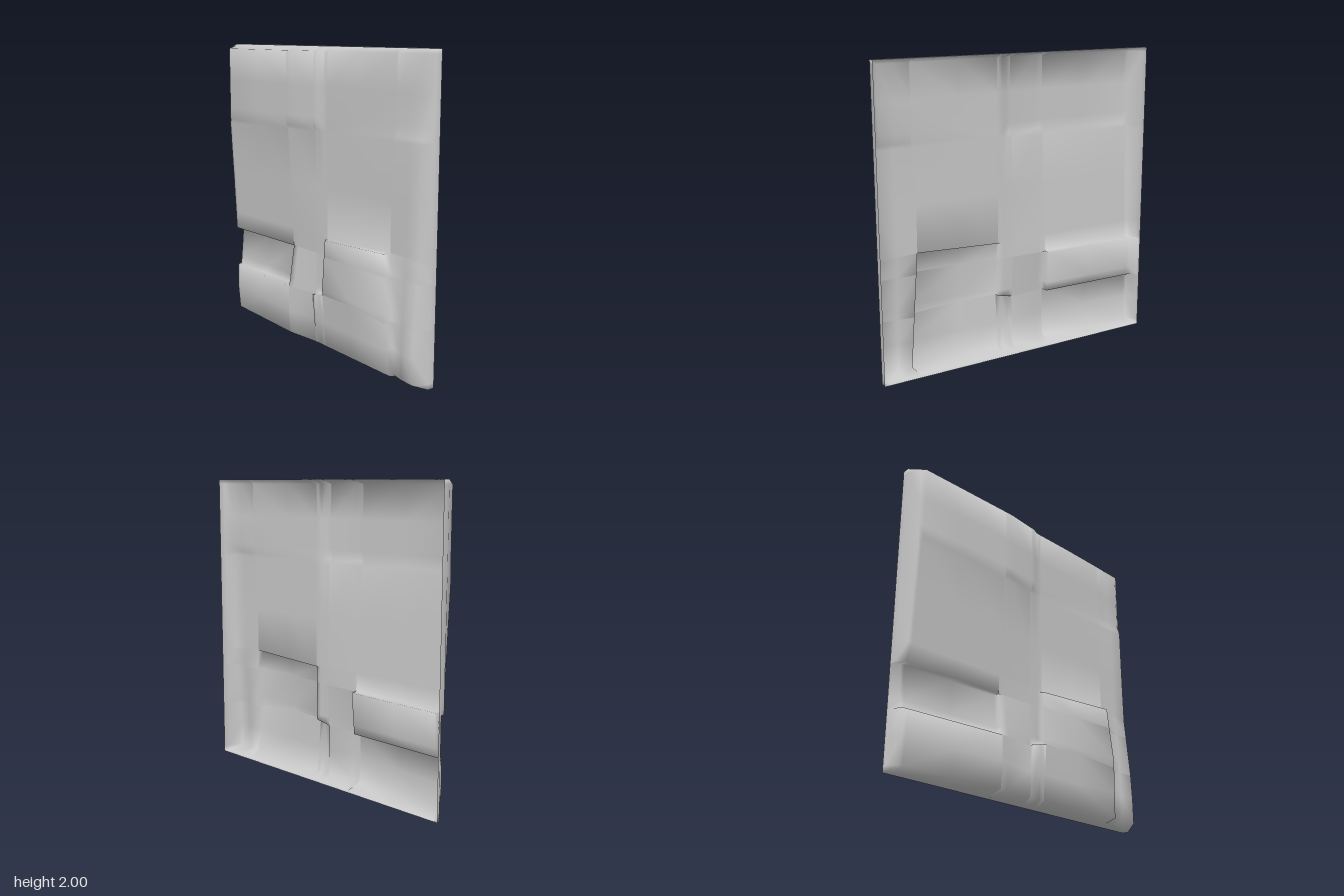
import * as THREE from 'three';
import { mergeVertices } from 'three/addons/utils/BufferGeometryUtils.js';

const BACK = -0.087, E = 0.001;
const SLOT_X = -0.25, LOW_Y = 0.37, SLOT_TOP = 0.65, BLOCK_TOP = 0.775, BLOCK_RIGHT = 0.735;

// piecewise linear curve through [position, value] points
function curve(points, t) {
  if (t <= points[0][0]) return points[0][1];
  for (let i = 1; i < points.length; i++) {
    const [a, va] = points[i - 1], [b, vb] = points[i];
    if (t <= b) return va + (vb - va) * (t - a) / (b - a);
  }
  return points[points.length - 1][1];
}
const ramp = (a, b, t) => THREE.MathUtils.clamp((t - a) / (b - a), 0, 1);
const mix = THREE.MathUtils.lerp;

// depth of the panel face at a point
function relief(x, y) {
  // gently sloping left and right fields, blended along the middle
  const left = curve([[0.035, 0.045], [0.2, 0.06], [LOW_Y, 0.055], [SLOT_TOP, 0.012], [0.8, 0.02], [1.44, 0.055], [2, 0.05]], y);
  const upperRight = curve([[0.1, 0.022], [0.6, 0.01], [0.95, -0.015]], x);
  const middleRight = curve([[0.1, 0.018], [0.95, 0.008]], x);
  const lowerStrip = 0.042 * ramp(0.7, 0.9, x) * ramp(0.8, 0.3, y);
  const right = mix(middleRight, upperRight, ramp(1.45, 1.55, y)) + lowerStrip;
  let z = mix(left, right, ramp(-0.25, 0.1, x));

  // lower left field falls away toward the outer edge
  if (y < LOW_Y) z -= 0.05 * ramp(SLOT_X, -0.955, x);

  // raised upper left block with soft sides
  const block = ramp(0.08, 0.04, x) * ramp(1.44, 1.47, y);
  z = mix(z, curve([[-0.955, 0.05], [-0.93, 0.068], [-0.2, 0.068], [0.04, 0.042]], x), block);

  // sunken slot on the left
  if (x < SLOT_X && y > LOW_Y && y < SLOT_TOP) {
    z = curve([[LOW_Y, -0.005], [SLOT_TOP, -0.03]], y) - 0.015 * ramp(SLOT_X, -0.955, x);
  }

  // raised lower right block with a notched corner
  if (x < BLOCK_RIGHT && ((x > 0.12 && y < BLOCK_TOP) || (x > 0.01 && y < LOW_Y))) {
    const swell = curve([[0.035, 0.055], [0.42, 0.088], [BLOCK_TOP, 0.065]], y);
    z = swell - 0.03 * ramp(BLOCK_RIGHT, 0.01, x);
  }
  return z;
}

// front edge of the rim, shallower beside the slot and below it
const shoulder = (x, y) => (x < SLOT_X && y < SLOT_TOP ? -0.066 : -0.04);

// slight slant of the horizontal steps
function slant(x, y) {
  if (Math.abs(y - BLOCK_TOP) < 0.01) return 0.05 * (x - 0.42) * ramp(0, 0.12, x) * ramp(0.955, 0.735, x);
  if (Math.abs(y - LOW_Y) < 0.01) return 0.025 * ramp(0.01, 0.12, x) * ramp(0.735, 0.4, x);
  if (y > 1.42 && y < 1.5) return 0.02 * ramp(-0.955, 0.04, x);
  return 0;
}

// smooth normals where small step faces keep a good share of the shading
function smoothNormals(geometry) {
  const p = geometry.attributes.position, index = geometry.index.array;
  const normals = Array.from({ length: p.count }, () => new THREE.Vector3());
  const tri = new THREE.Triangle(), n = new THREE.Vector3();
  for (let i = 0; i < index.length; i += 3) {
    const corners = [index[i], index[i + 1], index[i + 2]];
    tri.setFromAttributeAndIndices(p, ...corners);
    tri.getNormal(n).multiplyScalar(Math.sqrt(tri.getArea()));
    for (const c of corners) normals[c].add(n);
  }
  const flat = normals.flatMap((v) => v.normalize().toArray());
  geometry.setAttribute('normal', new THREE.Float32BufferAttribute(flat, 3));
  return geometry;
}

function panelGeometry() {
  // a close pair of grid lines makes each sharp step
  const pair = (v) => [v - E, v + E];
  const xs = [-0.955, -0.93, -0.6, ...pair(SLOT_X), -0.2, ...pair(0.01), 0.04, 0.08, ...pair(0.12),
    0.4, ...pair(BLOCK_RIGHT), 0.85, 0.955];
  const ys = [0.035, 0.2, ...pair(LOW_Y), 0.43, ...pair(SLOT_TOP), ...pair(BLOCK_TOP),
    1.1, 1.44, 1.47, 1.55, 1.75, 1.97];
  // extra lines at each end make the bevel and the straight rim
  const cols = [-1, -1, ...xs, 1, 1], rows = [0, 0, ...ys, 2, 2];
  const nx = cols.length, ny = rows.length, pos = [], index = [];
  for (let j = 0; j < ny; j++) {
    for (let i = 0; i < nx; i++) {
      const ring = Math.min(i, j, nx - 1 - i, ny - 1 - j);
      const x = cols[i], y = rows[j];
      if (ring < 2) {
        pos.push(x, y, ring === 0 ? BACK : shoulder(x, y));
        continue;
      }
      // lean the right side of the lower block
      const onSide = Math.abs(x - BLOCK_RIGHT) < 0.01;
      const lean = onSide ? -0.07 * (y - 0.42) * ramp(1.5, 0.8, y) : 0;
      pos.push(x + lean, y + slant(x, y), relief(x, y));
    }
  }
  for (let j = 0; j < ny - 1; j++) {
    for (let i = 0; i < nx - 1; i++) {
      const a = j * nx + i, b = a + 1, c = a + nx, d = c + 1;
      // diagonals run outward at all four corners
      if ((i < nx / 2) === (j < ny / 2)) index.push(a, b, d, a, d, c);
      else index.push(a, b, c, b, d, c);
    }
  }
  const geometry = new THREE.BufferGeometry();
  geometry.setAttribute('position', new THREE.Float32BufferAttribute(pos, 3));
  geometry.setIndex(index);
  return smoothNormals(mergeVertices(geometry));
}

export function createModel() {
  const group = new THREE.Group();
  group.name = 'wallPanel';
  // open-backed relief shell
  const material = new THREE.MeshStandardMaterial({ color: 0xcccccc, side: THREE.DoubleSide });
  const panel = new THREE.Mesh(panelGeometry(), material);
  panel.name = 'reliefPanel';
  group.add(panel);
  return group;
}
